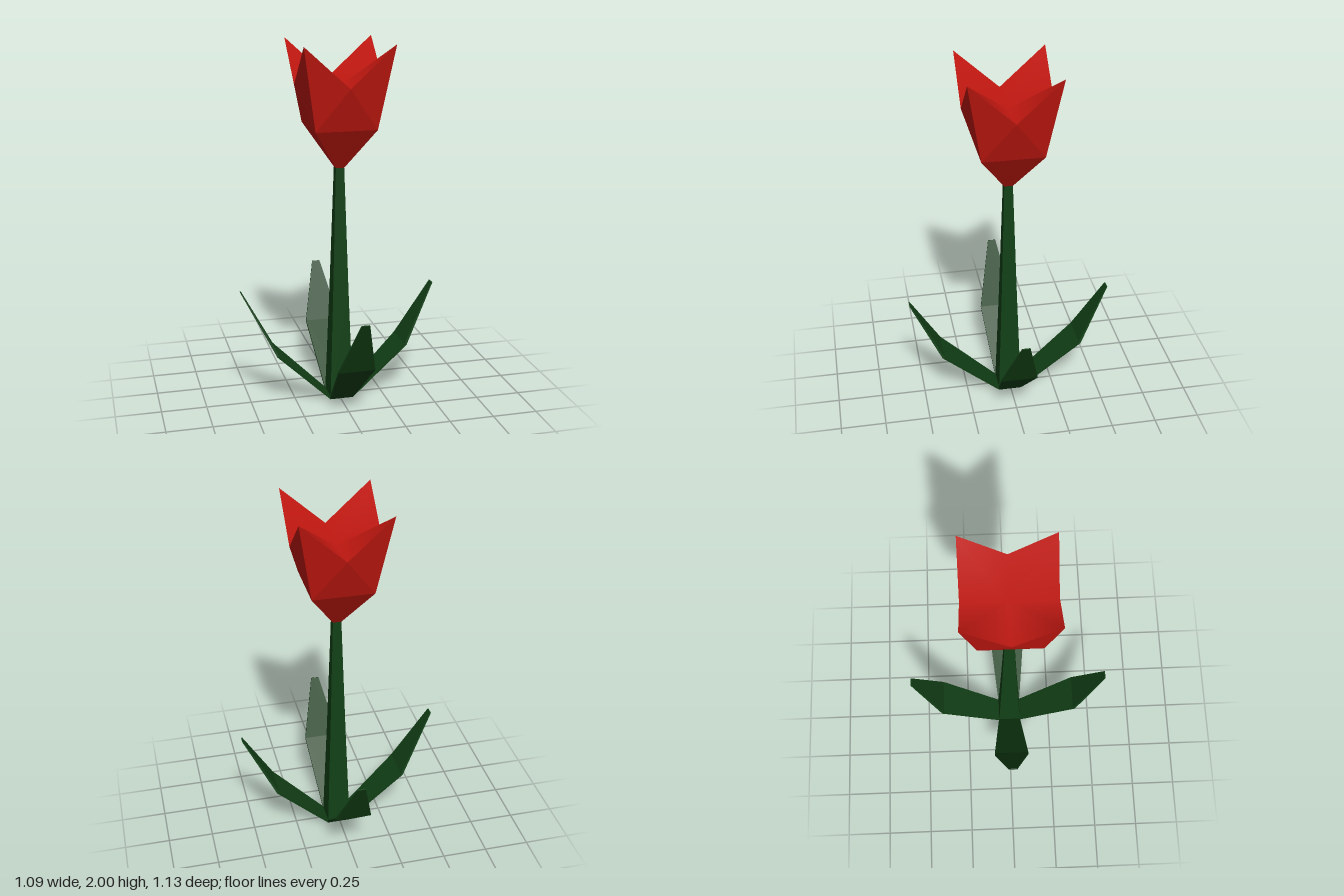
import * as THREE from 'three';

const C = 0.006; // slight offset of the plant axis
const green = new THREE.MeshStandardMaterial({ color: 0x124016, flatShading: true, side: THREE.DoubleSide });
const red = new THREE.MeshStandardMaterial({ color: 0xc01710, flatShading: true, side: THREE.DoubleSide });
const redSmooth = new THREE.MeshStandardMaterial({ color: 0xc01710, side: THREE.DoubleSide });

function makeMesh(name, points, index, material) {
  const geometry = new THREE.BufferGeometry();
  geometry.setAttribute('position', new THREE.Float32BufferAttribute(points.flat(), 3));
  geometry.setIndex(index);
  const geo = material.flatShading ? geometry.toNonIndexed() : geometry;
  geo.computeVertexNormals();
  const mesh = new THREE.Mesh(geo, material);
  mesh.name = name;
  return mesh;
}

// Joins four-cornered rings into a closed prism
function loft(name, rings, material) {
  const index = [];
  for (let r = 0; r < rings.length - 1; r++) {
    for (let i = 0; i < 4; i++) {
      const a = r * 4 + i, b = r * 4 + (i + 1) % 4;
      index.push(a, a + 4, b, b, a + 4, b + 4);
    }
  }
  const e = (rings.length - 1) * 4;
  index.push(0, 1, 2, 0, 2, 3, e, e + 2, e + 1, e, e + 3, e + 2);
  return makeMesh(name, rings.flat(), index, material);
}

const square = (h, y) => [[h, y, h], [h, y, -h], [-h, y, -h], [-h, y, h]].reverse();

// Thin bent blade growing along +z; profile rows are [z, y, half width]
function leaf(name, profile, angle) {
  const thick = [[0.006, 0.008], [0.006, 0.007], [0.003, 0.002]];
  const rings = profile.map(([z, y, w], i) => {
    const [dz, dy] = thick[i];
    return [[-w, y, z + dz], [w, y, z + dz], [w, y + dy, z - dz], [-w, y + dy, z - dz]];
  });
  const mesh = loft(name, rings, green);
  mesh.rotation.y = angle;
  return mesh;
}

function bloom() {
  const group = new THREE.Group();
  group.name = 'bloom';
  const R = 0.242, notch = 1.78;

  // Four outer walls with a V notch between the corner tips
  const wall = [
    [-0.023, 1.325, 0.023], [0.023, 1.325, 0.023],
    [-0.167, 1.55, 0.167], [0.167, 1.55, 0.167],
    [-R, 2, R], [R, 2, R], [0, notch, R],
  ];
  for (let i = 0; i < 4; i++) {
    const panel = makeMesh('petalWall', wall, [0, 1, 3, 0, 3, 2, 2, 3, 6, 3, 5, 6, 2, 6, 4], red);
    panel.rotation.y = i * Math.PI / 2;
    group.add(panel);
  }

  // Shallow inner surface rising to the four tips
  const points = [[0, 1.76, 0]], index = [];
  for (let i = 0; i < 4; i++) {
    const s = Math.sin(i * Math.PI / 2), c = Math.cos(i * Math.PI / 2);
    points.push([R * s, notch, R * c], [R * (s + c), 2, R * (c - s)]);
    const a = 1 + i * 2, next = 1 + ((i + 1) % 4) * 2;
    index.push(0, a, a + 1, 0, a + 1, next);
  }
  group.add(makeMesh('petalInside', points, index, redSmooth));
  return group;
}

export function createModel() {
  const model = new THREE.Group();
  model.name = 'flower';

  // Tapered square stem
  const plant = new THREE.Group();
  plant.name = 'plant';
  plant.position.set(C, 0, C);
  plant.add(loft('stem', [square(0.065, 0), square(0.044, 0.62), square(0.023, 1.33)], green));
  plant.add(bloom());

  // Four leaves: mid reach, tip reach, tip height, direction
  const leaves = [
    ['frontLeaf', 0.388, 0.556, 0.62, 0],
    ['leftLeaf', 0.362, 0.537, 0.632, Math.PI / 2],
    ['backLeaf', 0.402, 0.570, 0.62, Math.PI],
    ['rightLeaf', 0.367, 0.550, 0.655, -Math.PI / 2],
  ];
  for (const [name, mid, tip, tipY, angle] of leaves) {
    plant.add(leaf(name, [[0.06, 0, 0.065], [mid, 0.3, 0.1], [tip, tipY, 0.022]], angle));
  }
  model.add(plant);
  return model;
}
